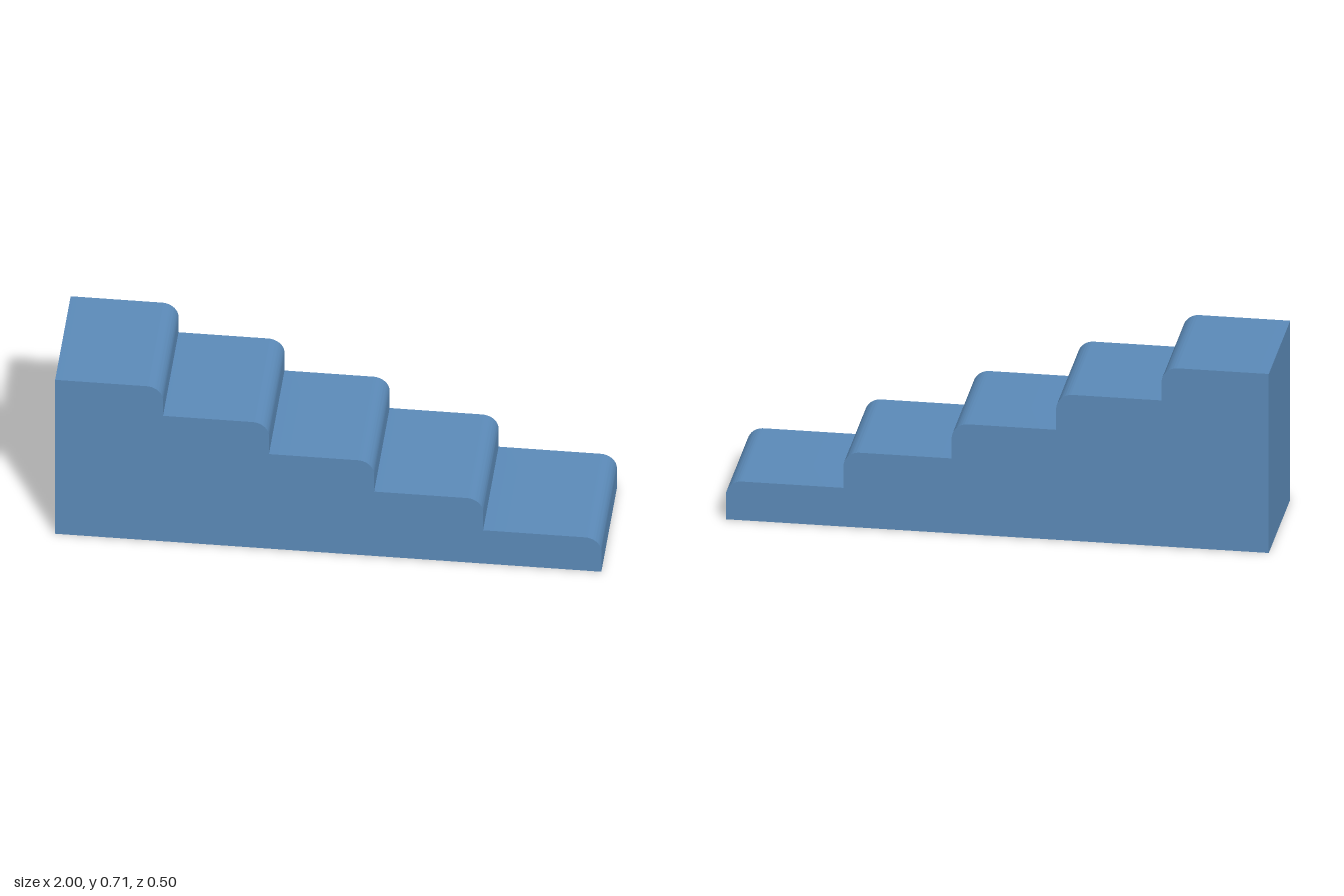
import * as THREE from 'three';
import { toCreasedNormals } from 'three/addons/utils/BufferGeometryUtils.js';

const DEPTH = 0.5;
const NOSE_RADIUS = 0.06;

// Each step from top to bottom: [nose x, tread height]
const STEPS = [
  [-0.605, 0.708],
  [-0.217, 0.577],
  [0.168, 0.435],
  [0.567, 0.296],
  [1, 0.153],
];

export function createModel() {
  const blue = new THREE.MeshStandardMaterial({ color: 0x5b8ab8 });
  blue.name = 'steel blue';

  // Side profile: treads with rounded noses, descending towards +x
  const profile = new THREE.Shape();
  profile.moveTo(-1, 0);
  profile.lineTo(-1, STEPS[0][1]);
  STEPS.forEach(([x, y], i) => {
    const nextY = i + 1 < STEPS.length ? STEPS[i + 1][1] : 0;
    profile.lineTo(x - NOSE_RADIUS, y);
    profile.absarc(x - NOSE_RADIUS, y - NOSE_RADIUS, NOSE_RADIUS, Math.PI / 2, 0, true);
    profile.lineTo(x, nextY);
  });
  profile.closePath();

  // Solid staircase, smooth over the noses and sharp elsewhere
  const geometry = new THREE.ExtrudeGeometry(profile, {
    depth: DEPTH,
    bevelEnabled: false,
    curveSegments: 16,
  });
  geometry.translate(0, 0, -DEPTH / 2);
  const staircase = new THREE.Mesh(toCreasedNormals(geometry, 0.5), blue);
  staircase.name = 'staircase';

  const group = new THREE.Group();
  group.name = 'solid stairs';
  group.add(staircase);
  return group;
}
